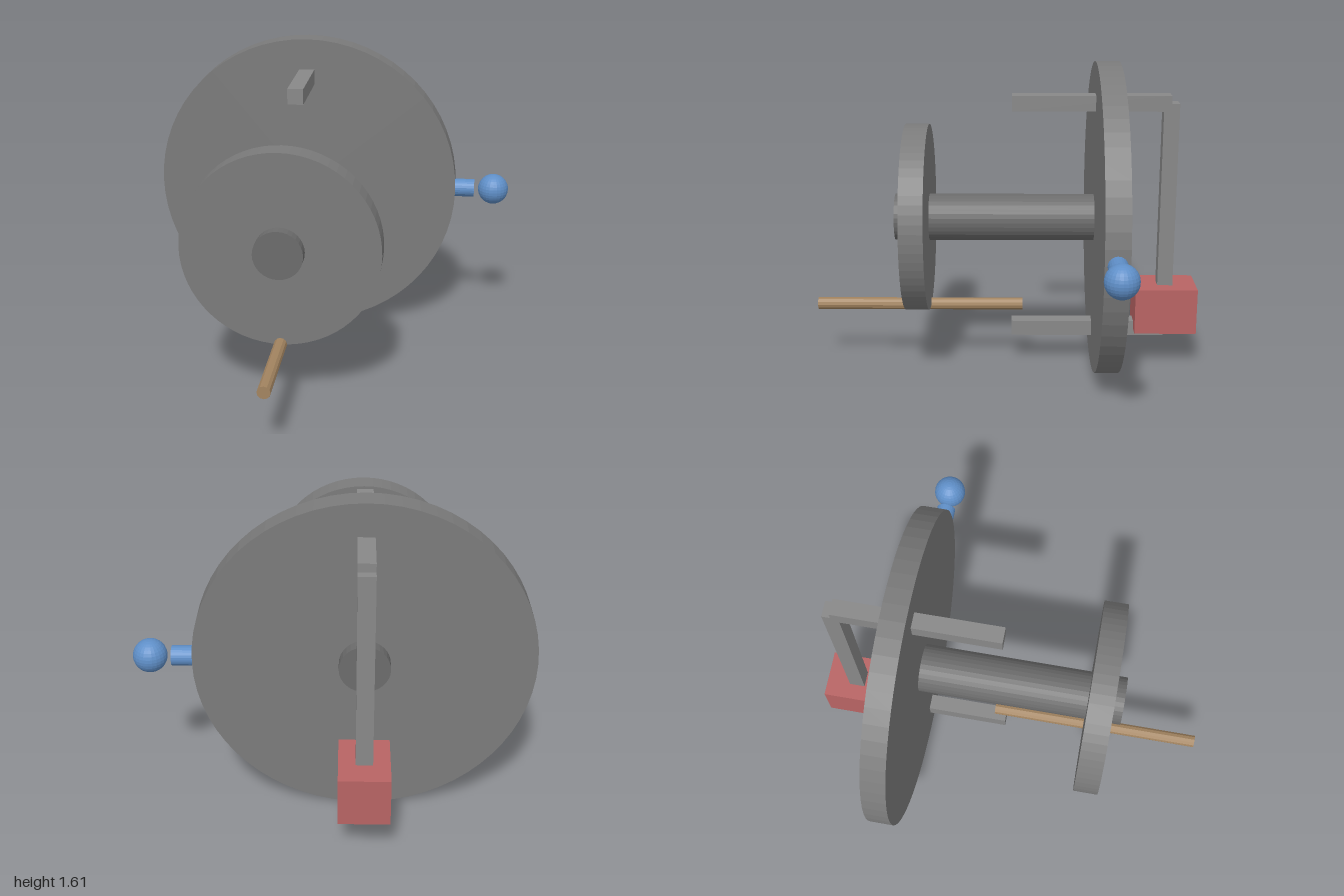
import * as THREE from 'three';

const AXIS_X = -0.142, AXIS_Y = 0.806;

const material = (color) => new THREE.MeshStandardMaterial({ color, flatShading: true });

export function createModel() {
  const model = new THREE.Group();
  const wheelGrey = material(0x7b7b7b);
  const axleGrey = material(0x6c6c6c);
  const barGrey = material(0x888888);
  const blue = material(0x5f8fc8);
  const red = material(0xb86464);
  const brown = material(0xa38460);

  const add = (name, geometry, mat, x, y, z) => {
    const mesh = new THREE.Mesh(geometry, mat);
    mesh.name = name;
    mesh.position.set(x, y, z);
    model.add(mesh);
  };

  // Cylinder lying along z between two depths
  const roller = (name, radius, z0, z1, y, sides, mat) => {
    const geometry = new THREE.CylinderGeometry(radius, radius, z1 - z0, sides).rotateX(Math.PI / 2);
    add(name, geometry, mat, AXIS_X, y, (z0 + z1) / 2);
  };

  // Axle with a large rear wheel and a small front wheel
  roller('axle', 0.121, -0.635, 0.575, AXIS_Y, 32, axleGrey);
  roller('largeWheel', 0.806, -0.575, -0.454, AXIS_Y, 64, wheelGrey);
  roller('smallWheel', 0.484, 0.397, 0.518, AXIS_Y, 64, wheelGrey);

  // Thin rod along the rim of the small wheel
  roller('rod', 0.032, -0.088, 1.0, AXIS_Y - 0.482, 12, brown);

  // Two pegs through the large wheel, joined behind it by an upright bar
  for (const [name, side] of [['upperPeg', 1], ['lowerPeg', -1]]) {
    add(name, new THREE.BoxGeometry(0.08, 0.08, 0.806), barGrey, AXIS_X, AXIS_Y + side * 0.605, -0.433);
  }
  add('uprightBar', new THREE.BoxGeometry(0.08, 1.209, 0.08), barGrey, AXIS_X, AXIS_Y, -0.837);

  // Block at the foot of the upright bar
  add('block', new THREE.BoxGeometry(0.242, 0.242, 0.323), red, AXIS_X, 0.323, -0.838);

  // Handle on the rim of the large wheel: short stem and separate ball
  const stem = new THREE.CylinderGeometry(0.048, 0.048, 0.161, 24).rotateZ(Math.PI / 2);
  add('handleStem', stem, blue, 0.684, AXIS_Y, -0.515);
  add('handleBall', new THREE.SphereGeometry(0.081, 24, 16), blue, 0.867, AXIS_Y, -0.515);

  return model;
}
